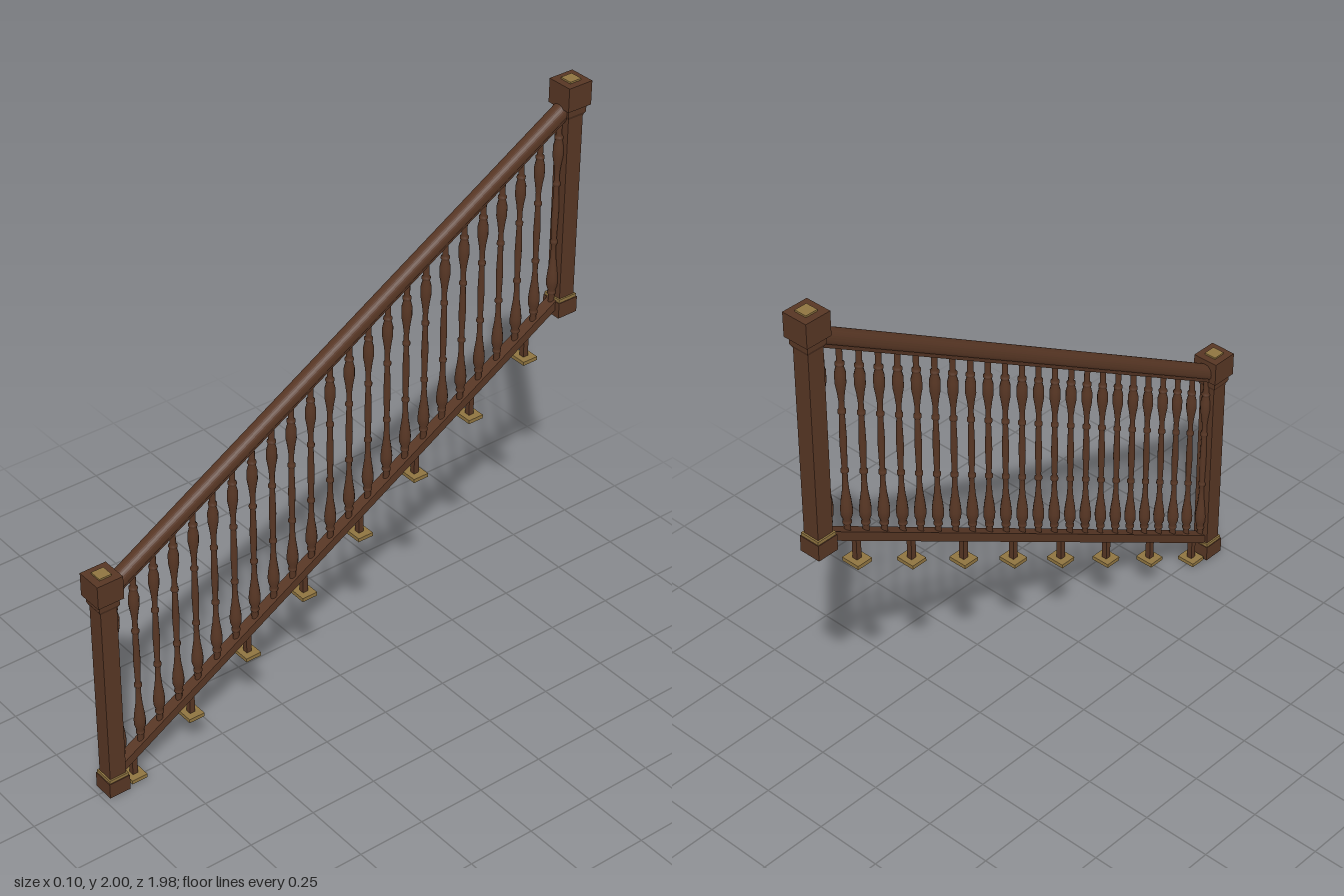
import * as THREE from 'three';

const SLOPE = 0.596; // rise per unit towards -z
const wood = new THREE.MeshStandardMaterial({ color: 0x573624 });
const brass = new THREE.MeshStandardMaterial({ color: 0x8f7440 });

function add(parent, name, geometry, material, x = 0, y = 0, z = 0) {
  const mesh = new THREE.Mesh(geometry, material);
  mesh.name = name;
  mesh.position.set(x, y, z);
  parent.add(mesh);
  return mesh;
}

// Square block between two heights
function block(parent, name, width, y0, y1, material = wood) {
  return add(parent, name, new THREE.BoxGeometry(width, y1 - y0, width), material, 0, (y0 + y1) / 2, 0);
}

// Extrude a cross-section along z, then shear it to the stair slope (ends stay vertical)
function slopedBar(shape, length) {
  const g = new THREE.ExtrudeGeometry(shape, { depth: length, bevelEnabled: false, curveSegments: 8 });
  g.translate(0, 0, -length / 2);
  const p = g.attributes.position;
  for (let i = 0; i < p.count; i++) p.setY(i, p.getY(i) - SLOPE * p.getZ(i));
  g.computeVertexNormals();
  return g;
}

function newelPost(name, y, z) {
  const post = new THREE.Group();
  post.name = name;
  block(post, 'postBase', 0.08, 0, 0.058);
  block(post, 'baseBand', 0.074, 0.058, 0.07, brass);
  block(post, 'postShaft', 0.062, 0.07, 0.76);
  // Collar tapering out to the cap
  const taper = new THREE.CylinderGeometry(0.076 / Math.SQRT2, 0.064 / Math.SQRT2, 0.012, 4, 1).toNonIndexed();
  taper.rotateY(Math.PI / 4);
  taper.computeVertexNormals();
  add(post, 'collarTaper', taper, wood, 0, 0.756, 0);
  block(post, 'postCollar', 0.076, 0.762, 0.79);
  block(post, 'postCap', 0.097, 0.788, 0.874);
  block(post, 'capPlate', 0.046, 0.874, 0.88, brass);
  post.position.set(0, y, z);
  return post;
}

export function createModel() {
  const model = new THREE.Group();
  model.name = 'stairRailing';

  // Newel posts
  model.add(newelPost('frontPost', 0, 0.94), newelPost('backPost', 1.12, -0.94));

  // Handrail with rounded top
  const rail = new THREE.Shape();
  rail.moveTo(-0.02, 1.32);
  rail.lineTo(0.02, 1.32);
  rail.lineTo(0.022, 1.334);
  rail.quadraticCurveTo(0.03, 1.336, 0.03, 1.352);
  rail.bezierCurveTo(0.03, 1.378, 0.016, 1.388, 0, 1.388);
  rail.bezierCurveTo(-0.016, 1.388, -0.03, 1.378, -0.03, 1.352);
  rail.quadraticCurveTo(-0.03, 1.336, -0.022, 1.334);
  rail.closePath();
  add(model, 'handrail', slopedBar(rail, 1.85), wood);

  // Bottom rail
  const lower = new THREE.Shape();
  lower.moveTo(-0.021, 0.607);
  lower.lineTo(0.021, 0.607);
  lower.lineTo(0.021, 0.642);
  lower.lineTo(-0.021, 0.642);
  lower.closePath();
  add(model, 'bottomRail', slopedBar(lower, 1.85), wood);

  // Turned balusters: radius, height
  const profile = [
    [0.011, 0], [0.011, 0.035], [0.015, 0.04], [0.015, 0.047], [0.012, 0.052],
    [0.019, 0.072], [0.02, 0.095], [0.017, 0.125], [0.012, 0.16], [0.009, 0.2],
    [0.009, 0.23], [0.013, 0.235], [0.013, 0.245], [0.009, 0.25],
    [0.012, 0.35], [0.009, 0.45], [0.013, 0.455], [0.013, 0.465], [0.009, 0.47],
    [0.009, 0.5], [0.013, 0.535], [0.018, 0.565], [0.018, 0.6], [0.012, 0.625],
    [0.015, 0.63], [0.015, 0.637], [0.01, 0.642], [0.01, 0.705],
  ].map(([r, y]) => new THREE.Vector2(r, y));
  const balusterGeometry = new THREE.LatheGeometry(profile, 12);
  const balusters = new THREE.Group();
  balusters.name = 'balusters';
  for (let i = 0; i < 24; i++) {
    const z = 0.904 - i * 0.0784;
    add(balusters, 'baluster', balusterGeometry, wood, 0, 0.628 - SLOPE * z, z);
  }
  model.add(balusters);

  // Stem and foot plate on each tread
  const feet = new THREE.Group();
  feet.name = 'treadBrackets';
  for (let i = 0; i < 8; i++) {
    const z = 0.859 - i * 0.235;
    const y = 0.008 + i * 0.1396;
    const top = 0.62 - SLOPE * z;
    add(feet, 'footPlate', new THREE.BoxGeometry(0.07, 0.014, 0.06), brass, 0, y + 0.007, z);
    add(feet, 'bracketStem', new THREE.BoxGeometry(0.02, top - y - 0.014, 0.02), wood, 0, (top + y + 0.014) / 2, z);
  }
  model.add(feet);

  return model;
}
